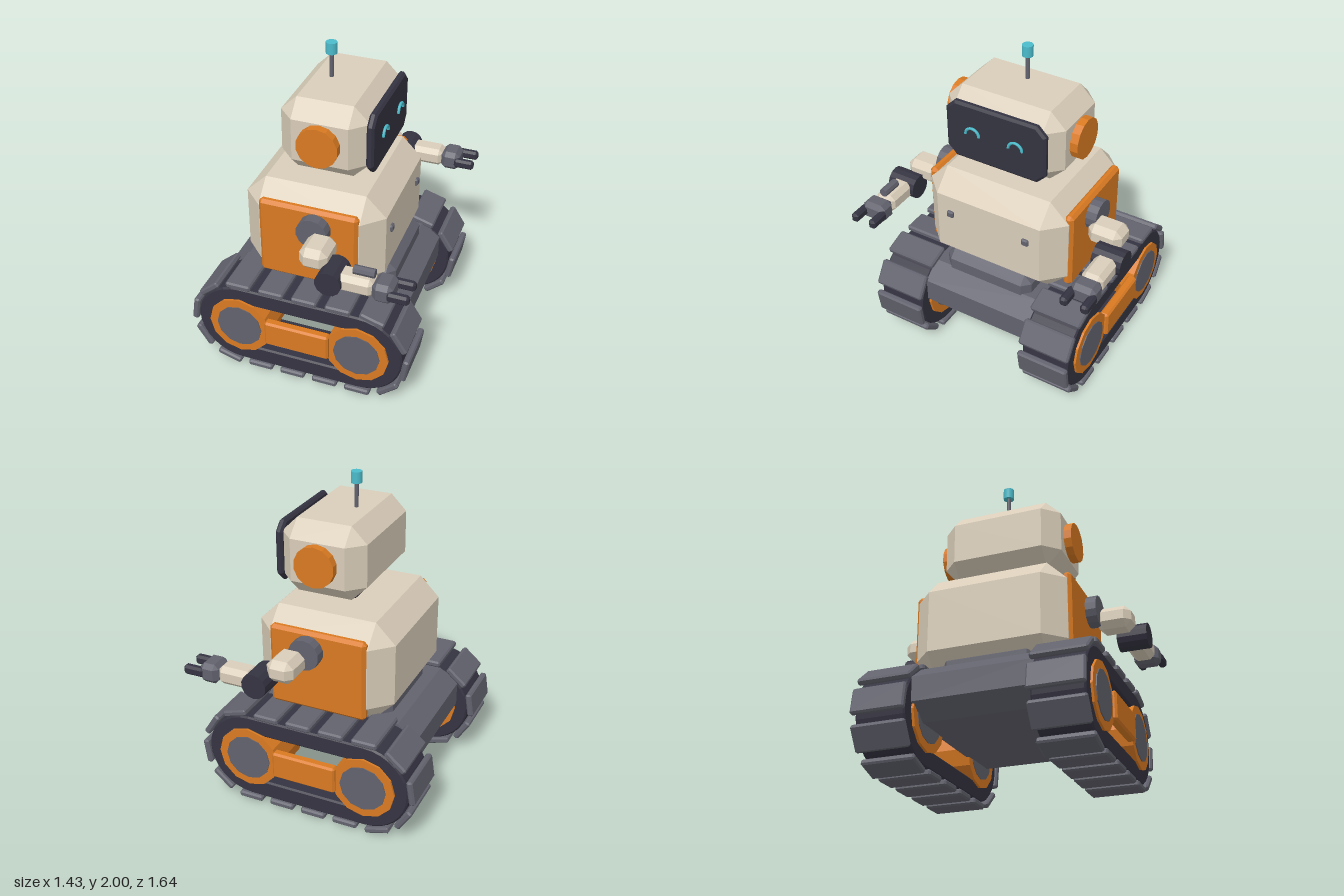
import * as THREE from 'three';
import { ConvexGeometry } from 'three/addons/geometries/ConvexGeometry.js';

const mat = (name, color) => {
  const m = new THREE.MeshStandardMaterial({ color });
  m.name = name;
  return m;
};

export function createModel() {
  const cream = mat('cream', 0xd9cdb9);
  const orange = mat('orange', 0xd97a22);
  const grey = mat('grey', 0x62626e);
  const dark = mat('dark', 0x343341);
  const cyan = mat('cyan', 0x4bbccb);
  const model = new THREE.Group();
  model.name = 'trackedRobot';

  const add = (parent, name, geometry, material, x = 0, y = 0, z = 0) => {
    const mesh = new THREE.Mesh(geometry, material);
    mesh.name = name;
    mesh.position.set(x, y, z);
    parent.add(mesh);
    return mesh;
  };
  const group = (parent, name) => {
    const g = new THREE.Group();
    g.name = name;
    parent.add(g);
    return g;
  };
  const flat = (geometry) => {
    const g = geometry.index ? geometry.toNonIndexed() : geometry;
    g.computeVertexNormals();
    return g;
  };
  // Box with every edge and corner cut flat
  const chamferBox = (w, h, d, c) => {
    const pts = [];
    for (const i of [-1, 1]) for (const j of [-1, 1]) for (const k of [-1, 1]) {
      const x = w / 2, y = h / 2, z = d / 2;
      pts.push(new THREE.Vector3(i * x, j * (y - c), k * (z - c)));
      pts.push(new THREE.Vector3(i * (x - c), j * y, k * (z - c)));
      pts.push(new THREE.Vector3(i * (x - c), j * (y - c), k * z));
    }
    return new ConvexGeometry(pts);
  };
  // Chamfered box given by its extents
  const block = (parent, name, m, [x0, x1], [y0, y1], [z0, z1], c) =>
    add(parent, name, chamferBox(x1 - x0, y1 - y0, z1 - z0, c), m,
      (x0 + x1) / 2, (y0 + y1) / 2, (z0 + z1) / 2);
  // Faceted cylinder lying along z
  const drum = (parent, name, m, r, x, y, z0, z1, sides = 12) =>
    add(parent, name, flat(new THREE.CylinderGeometry(r, r, Math.abs(z1 - z0), sides).rotateX(Math.PI / 2)),
      m, x, y, (z0 + z1) / 2);
  const polygon = (pts) => new THREE.Shape(pts.map(([x, y]) => new THREE.Vector2(x, y)));

  // Chassis between the tracks
  const hull = polygon([[-0.6, 0.36], [-0.48, 0.27], [0.46, 0.27], [0.58, 0.36],
    [0.58, 0.51], [0.46, 0.6], [-0.48, 0.6], [-0.6, 0.51]]);
  add(model, 'chassis', new THREE.ExtrudeGeometry(hull, { depth: 0.74, bevelEnabled: false }), grey, 0, 0, -0.37);
  block(model, 'bodyMount', grey, [-0.4, 0.47], [0.5, 0.715], [-0.3, 0.3], 0.05);

  // Body, neck and head
  block(model, 'body', cream, [-0.45, 0.43], [0.6, 1.24], [-0.48, 0.48], 0.125);
  block(model, 'neck', dark, [-0.095, 0.075], [1.235, 1.34], [-0.125, 0.125], 0.015);
  block(model, 'head', cream, [-0.24, 0.3], [1.32, 1.78], [-0.39, 0.39], 0.098);

  // Visor: octagonal plate facing +x
  const w = 0.315, h = 0.175, c = 0.05;
  const visorShape = polygon([[-w + c, -h], [w - c, -h], [w, -h + c], [w, h - c],
    [w - c, h], [-w + c, h], [-w, h - c], [-w, -h + c]]);
  const visorGeo = new THREE.ExtrudeGeometry(visorShape,
    { depth: 0.02, bevelThickness: 0.013, bevelSize: 0.015, bevelSegments: 1 });
  add(model, 'visor', visorGeo.rotateY(Math.PI / 2), dark, 0.298, 1.55, 0);

  // Antenna
  add(model, 'antennaStem', flat(new THREE.CylinderGeometry(0.014, 0.014, 0.17, 8)), grey, -0.04, 1.855, 0);
  add(model, 'antennaTip', new THREE.CylinderGeometry(0.034, 0.034, 0.07, 14), cyan, -0.04, 1.965, 0);

  // Track layout: wheel centres, and tread path radius
  const xa = -0.395, xb = 0.37, wheelY = 0.322, span = xb - xa, treadR = 0.3;
  const stadium = (path, r) => {
    path.absarc(xb, wheelY, r, -Math.PI / 2, Math.PI / 2, false);
    path.absarc(xa, wheelY, r, Math.PI / 2, Math.PI * 1.5, false);
    path.closePath();
    return path;
  };
  const beltShape = stadium(new THREE.Shape(), 0.27);
  beltShape.holes.push(stadium(new THREE.Path(), 0.175));
  const beltGeo = new THREE.ExtrudeGeometry(beltShape,
    { depth: 0.29, bevelThickness: 0.01, bevelSize: 0.01, bevelSegments: 1, curveSegments: 8 });
  const treadGeo = chamferBox(0.16, 0.04, 0.335, 0.01);
  const treadCount = 16;
  const arc = Math.PI * treadR, perimeter = 2 * (span + arc);

  for (const s of [1, -1]) {
    const side = s > 0 ? 'left' : 'right';
    const range = (a, b) => (s > 0 ? [a, b] : [-b, -a]);

    // Track belt and treads
    const track = group(model, side + 'Track');
    add(track, 'belt', beltGeo, dark, 0, 0, s * 0.523 - 0.145);
    for (let i = 0; i < treadCount; i++) {
      let d = (i * perimeter) / treadCount;
      const half = d >= span + arc ? 1 : 0;
      d -= half * (span + arc);
      const turn = half * Math.PI + Math.max(0, d - span) / treadR;
      const along = Math.min(d, span);
      const px = half ? xb - along : xa + along;
      const tread = add(track, 'tread', treadGeo, grey,
        px + Math.sin(turn) * treadR, wheelY + Math.cos(turn) * treadR, s * 0.523);
      tread.rotation.z = -turn;
    }
    // Wheels and the bar joining them
    for (const x of [xa, xb]) {
      drum(track, 'wheel', orange, 0.2, x, wheelY, s * 0.352, s * 0.692);
      drum(track, 'hub', grey, 0.147, x, wheelY, s * 0.348, s * 0.698);
    }
    block(track, 'wheelBar', orange, [-0.22, 0.195], [0.24, 0.415], range(0.655, 0.715), 0.012);

    // Side panel, ear, eye and chest stud
    block(model, side + 'SidePanel', orange, [-0.32, 0.3], [0.645, 1.165], range(0.44, 0.5), 0.02);
    drum(model, side + 'Ear', orange, 0.127, 0.03, 1.55, s * 0.37, s * 0.44, 14);
    add(model, side + 'Eye', new THREE.TorusGeometry(0.045, 0.009, 6, 12, Math.PI).rotateY(Math.PI / 2),
      cyan, 0.344, 1.553, s * 0.143);
    block(model, side + 'ChestStud', grey, [0.41, 0.447], [0.967, 1.013], range(0.238, 0.284), 0.008);

    // Arm with two-fingered gripper
    const arm = group(model, side + 'Arm');
    drum(arm, 'shoulder', grey, 0.098, 0.042, 1.047, s * 0.48, s * 0.568, 14);
    block(arm, 'upperArm', cream, [0.027, 0.2], [0.93, 1.07], range(0.535, 0.755), 0.04);
    drum(arm, 'elbow', dark, 0.079, 0.235, 0.925, s * 0.632, s * 0.82, 14);
    block(arm, 'forearm', cream, [0.27, 0.495], [0.865, 0.982], range(0.656, 0.794), 0.03);
    block(arm, 'wrist', grey, [0.485, 0.608], [0.86, 0.985], range(0.648, 0.808), 0.028);
    for (const z of [0.662, 0.792])
      block(arm, 'finger', dark, [0.575, 0.707], [0.895, 0.955], range(z - 0.025, z + 0.025), 0.014);
  }

  // Small tube on the left forearm
  add(model, 'forearmTube', flat(new THREE.CylinderGeometry(0.028, 0.028, 0.127, 8).rotateZ(Math.PI / 2)),
    grey, 0.424, 1.004, 0.725);
  return model;
}
